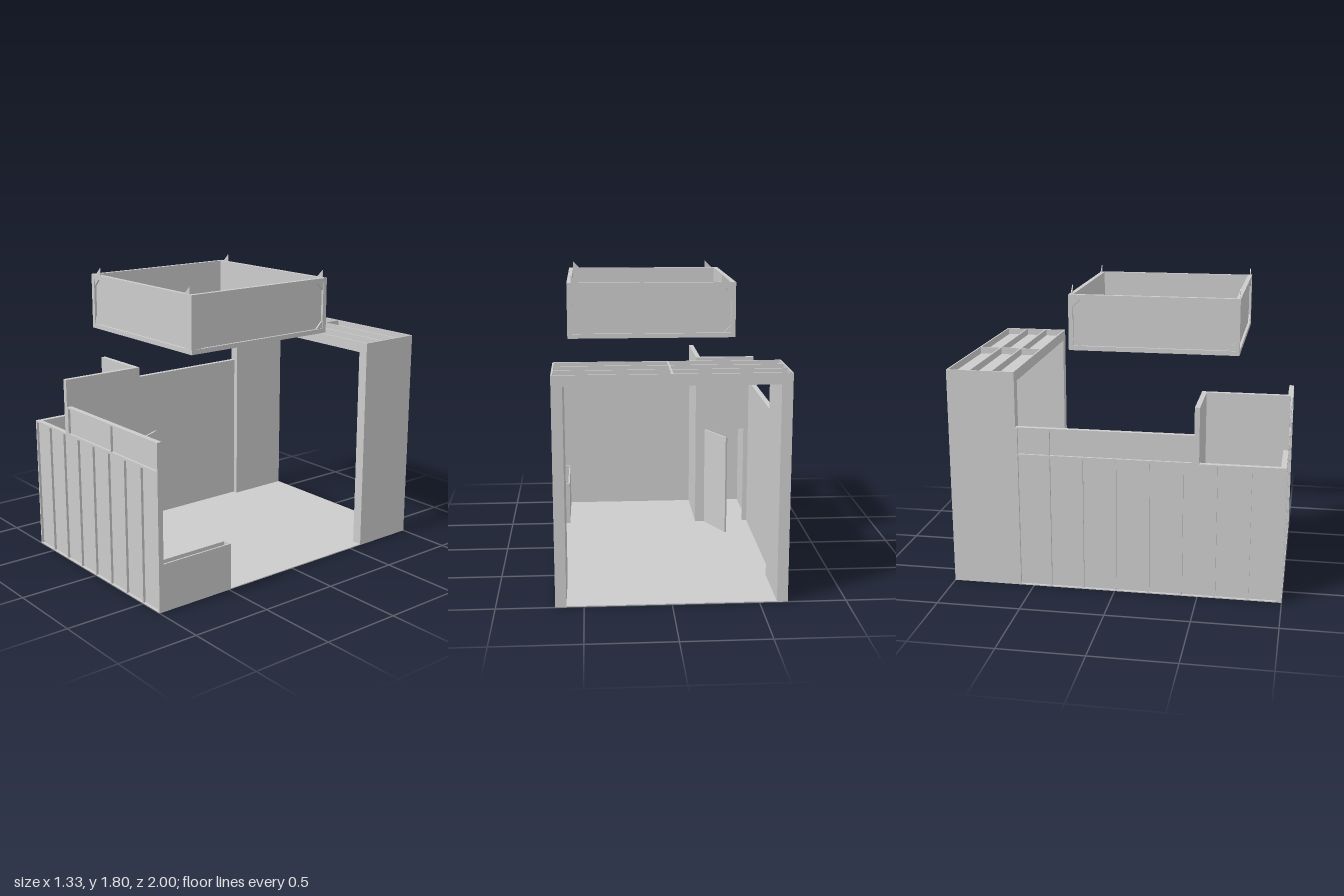
import * as THREE from 'three';

const material = new THREE.MeshStandardMaterial({ color: 0xcccccc, flatShading: true, side: THREE.DoubleSide });

function add(parent, name, geometry) {
  const mesh = new THREE.Mesh(geometry, material);
  mesh.name = name;
  parent.add(mesh);
  return mesh;
}

function group(parent, name) {
  const g = new THREE.Group();
  g.name = name;
  parent.add(g);
  return g;
}

// Box given by its limits on each axis
function box(parent, name, x0, x1, y0, y1, z0, z1) {
  const mesh = add(parent, name, new THREE.BoxGeometry(x1 - x0, y1 - y0, z1 - z0));
  mesh.position.set((x0 + x1) / 2, (y0 + y1) / 2, (z0 + z1) / 2);
  return mesh;
}

// Flat board cut from an outline, extruded towards +z
function board(parent, name, points, depth, z = 0) {
  const shape = new THREE.Shape(points.map(([x, y]) => new THREE.Vector2(x, y)));
  const mesh = add(parent, name, new THREE.ExtrudeGeometry(shape, { depth, bevelEnabled: false }));
  mesh.position.z = z;
  return mesh;
}

// Recessed panels between thin battens; outer face at z = 0, facing +z
function panelField(parent, name, x0, x1, y0, y1, stops) {
  const g = group(parent, name);
  const w = 0.01;
  box(g, 'panel', x0, x1, y0, y1, -0.032, -0.015);
  box(g, 'topRail', x0, x1, y1 - w, y1, -0.032, 0);
  box(g, 'bottomRail', x0, x1, y0, y0 + w / 2, -0.032, 0);
  for (const x of stops) {
    const c = Math.min(Math.max(x, x0 + w / 2), x1 - w / 2);
    box(g, 'batten', c - w / 2, c + w / 2, y0, y1, -0.032, 0);
  }
  return g;
}

const steps = (a, b, n) => Array.from({ length: n + 1 }, (_, i) => a + ((b - a) * i) / n);

// One side of the hanging frame, centred, facing +z
function bannerSide(parent, name, half, h) {
  const g = group(parent, name);
  const t = 0.027;
  box(g, 'panel', -half + t, half - t, -h + t, h - t, -t, -0.015);
  box(g, 'topBar', -half, half, h - t, h, -t, 0);
  box(g, 'bottomBar', -half, half, -h, -h + t, -t, 0);
  for (const s of [-1, 1]) {
    box(g, 'upright', s * half - (s > 0 ? t : 0), s * half + (s < 0 ? t : 0), -h + t, h - t, -t, 0);
    for (const v of [-1, 1]) {
      const x = s * (half - t), y = v * (h - t);
      board(g, 'cornerGusset', [[x, y], [x - s * 0.045, y], [x, y - v * 0.045]], 0.01, -0.015);
    }
  }
  return g;
}

export function createModel() {
  const model = new THREE.Group();
  model.name = 'exhibitionBooth';
  box(model, 'floor', -0.663, 0.663, 0, 0.006, -1, 1);

  // Front wall: tall panels with a higher section on top
  const front = group(model, 'frontWall');
  front.position.z = 1;
  panelField(front, 'frontPanels', -0.663, 0.663, 0, 0.83, steps(-0.663, 0.663, 8));
  panelField(front, 'frontHeader', -0.27, 0.663, 0.83, 1, [-0.27, 0.2, 0.663]);

  // Side wall at -x
  const side = group(model, 'sideWall');
  side.position.x = -0.663;
  side.rotation.y = -Math.PI / 2;
  panelField(side, 'sidePanels', -0.59, 0.985, 0, 0.83, steps(-0.59, 1, 8).slice(0, 8));
  panelField(side, 'sideHeader', -0.59, 0.47, 0.83, 1, [-0.59, -0.39, 0.47]);

  // Corner storeroom with a doorway and a door standing ajar
  const room = group(model, 'storeroom');
  board(room, 'doorPartition', [
    [-0.64, 0], [-0.6, 0], [-0.6, 0.667], [-0.335, 0.667], [-0.335, 0], [-0.27, 0],
    [-0.27, 1.167], [-0.663, 1.167], [-0.663, 0.83], [-0.64, 0.83],
  ], 0.03, 0.47);
  const partition = board(room, 'sidePartition', [
    [0.5, 0], [0.98, 0], [0.98, 0.83], [1, 0.83], [1, 1.167], [0.5, 1.167],
  ], 0.03);
  partition.rotation.y = -Math.PI / 2;
  partition.position.x = -0.27;
  const door = box(room, 'door', -0.135, 0.135, 0.006, 0.667, -0.006, 0.006);
  door.position.set(-0.395, 0.336, 0.345);
  door.rotation.y = Math.atan2(-0.24, 0.115);

  // Low open trough by the side opening
  const trough = group(model, 'lowTrough');
  for (const x of [0.6, 0.653]) box(trough, 'longSide', x, x + 0.01, 0, 0.288, 0.485, 0.968);
  for (const z of [0.485, 0.958]) box(trough, 'endSide', 0.61, 0.653, 0, 0.288, z, z + 0.01);

  // Rear portal with an open slatted top
  const portal = group(model, 'rearPortal');
  board(portal, 'arch', [
    [-0.663, 0], [-0.6, 0], [-0.6, 1.268], [0.6, 1.268], [0.6, 0], [0.663, 0], [0.663, 1.292], [-0.663, 1.292],
  ], 0.41, -1);
  for (const z of [-1, -0.865, -0.732, -0.6]) box(portal, 'crossSlat', -0.663, 0.663, 1.29, 1.333, z, z + 0.01);
  for (const x of [-0.663, -0.005, 0.653]) box(portal, 'shortSlat', x, x + 0.01, 1.29, 1.333, -1, -0.59);

  // Hanging square frame
  const banner = group(model, 'hangingFrame');
  banner.position.set(0.075, 1.591, 0.193);
  const half = 0.506, h = 0.166;
  for (let i = 0; i < 4; i++) {
    const turn = group(banner, 'frameSide');
    turn.rotation.y = (i * Math.PI) / 2;
    bannerSide(turn, 'framePanel', half, h).position.z = half;
  }
  // Triangular hanging lugs
  for (const z of [-0.496, 0.496]) {
    for (const x of [-0.42, 0.48]) {
      board(banner, 'hangingLug', [[x - 0.047, h], [x, h], [x, h + 0.045]], 0.005, z - 0.0025);
    }
  }
  return model;
}
